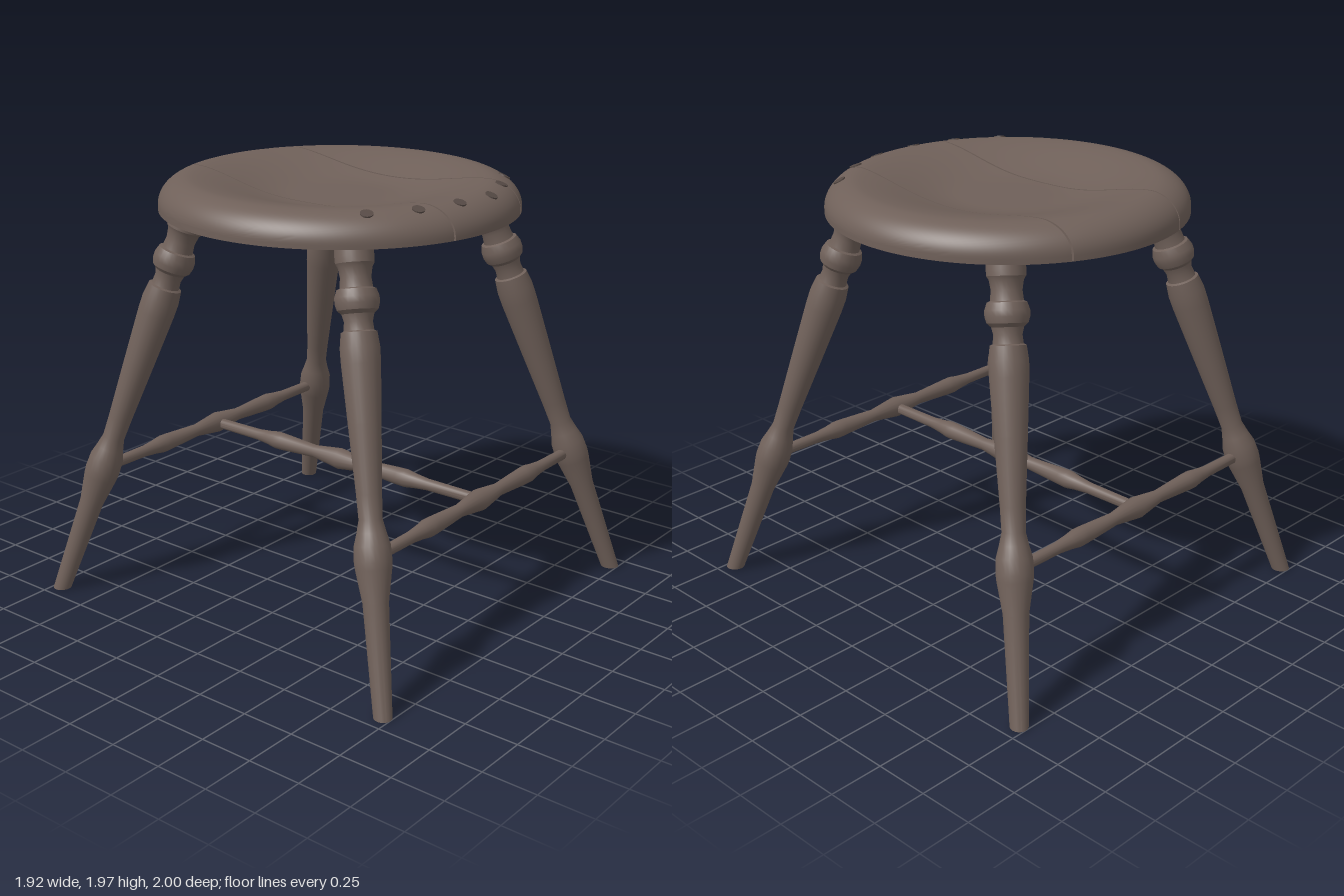
import * as THREE from 'three';
import { toCreasedNormals } from 'three/addons/utils/BufferGeometryUtils.js';

const wood = new THREE.MeshStandardMaterial({ color: 0x6f6059 });
wood.name = 'brown wood';
const hollow = new THREE.MeshStandardMaterial({ color: 0x564a45 });
hollow.name = 'hole brown';

const UP = new THREE.Vector3(0, 1, 0);
const R = 0.81; // seat radius

// Heights of the dished seat top and the chamfered underside
const seatTop = (x, z) => {
  const r = Math.min(Math.hypot(x, z), R);
  const dish = 1.885 + 0.085 * THREE.MathUtils.smoothstep(r, 0.22, 0.69);
  const u = Math.max(0, (r - 0.66) / (R - 0.66));
  return dish - 0.12 * (1 - Math.sqrt(Math.max(0, 1 - u * u))) - 0.006 * z;
};
const seatBottom = (x, z) => {
  const r = Math.min(Math.hypot(x, z), R);
  return 1.798 + 0.032 * THREE.MathUtils.clamp((r - 0.62) / (R - 0.62), 0, 1);
};

// One seat plank between two nearly straight seams x = a + b * z
function plank([a0, b0], [a1, b1], cols, ease) {
  const n = 48, loop = 2 * (n + 1), pos = [], idx = [];
  for (let i = 0; i <= cols; i++) {
    const t = ease(i / cols);
    const a = a0 + (a1 - a0) * t, b = b0 + (b1 - b0) * t, k = 1 + b * b;
    const mid = -a * b / k, half = Math.sqrt(Math.max(0, R * R * k - a * a)) / k;
    for (let j = 0; j < loop; j++) {
      const top = j <= n, v = ((top ? j : loop - 1 - j) / n - 0.5) * Math.PI;
      const z = mid + half * Math.sin(v), x = a + b * z;
      pos.push(x, top ? seatTop(x, z) : seatBottom(x, z), z);
    }
  }
  for (let i = 0; i < cols; i++) {
    for (let j = 0; j < loop; j++) {
      const j2 = (j + 1) % loop;
      const p = i * loop + j, q = i * loop + j2;
      idx.push(p, q, p + loop, q, q + loop, p + loop);
    }
  }
  // Side walls along the seams
  for (let j = 0; j < n; j++) {
    const t0 = j, t1 = j + 1, u0 = loop - 1 - j, u1 = loop - 2 - j, e = cols * loop;
    idx.push(u0, t1, t0, u0, u1, t1);
    idx.push(e + u0, e + t0, e + t1, e + u0, e + t1, e + u1);
  }
  const g = new THREE.BufferGeometry();
  g.setAttribute('position', new THREE.Float32BufferAttribute(pos, 3));
  g.setIndex(idx);
  return toCreasedNormals(g, 0.7);
}

// Turned part from [radius, height] pairs
const turned = (pts, sides) =>
  new THREE.LatheGeometry(pts.map(([r, y]) => new THREE.Vector2(r, y)), sides);

const legProfile = [
  [0, 0], [0.04, 0], [0.055, 0.44], [0.077, 0.57], [0.08, 0.6], [0.077, 0.66],
  [0.062, 0.71], [0.05, 0.76], [0.054, 0.86], [0.07, 1.13], [0.083, 1.36],
  [0.084, 1.42], [0.076, 1.48], [0.064, 1.485], [0.06, 1.52], [0.068, 1.55],
  [0.086, 1.565], [0.094, 1.59], [0.094, 1.615], [0.083, 1.645], [0.07, 1.65],
  [0.065, 1.69], [0.072, 1.73], [0.082, 1.745], [0.083, 1.77], [0.08, 1.84], [0, 1.84],
];

// Splayed leg, its foot trimmed level with the floor
function legGeometry(sx, sz) {
  const dir = new THREE.Vector3(-0.239 * sx, 1, -0.275 * sz);
  const length = dir.length();
  const g = turned(legProfile.map(([r, y]) => [r, y * length]), 24);
  g.applyQuaternion(new THREE.Quaternion().setFromUnitVectors(UP, dir.clone().normalize()));
  g.translate(0.92 * sx, 0, 0.96 * sz);
  const p = g.attributes.position, v = new THREE.Vector3();
  for (let i = 0; i < p.count; i++) {
    v.fromBufferAttribute(p, i);
    if (v.y < 0.03) {
      v.addScaledVector(dir, -v.y);
      p.setXYZ(i, v.x, v.y, v.z);
    }
  }
  return toCreasedNormals(g, 0.5);
}

// Stretcher profile, mirrored about its middle
const halfStretcher = [
  [0.03, 0.15], [0.041, 0.35], [0.042, 0.39], [0.034, 0.44], [0.027, 0.51], [0.025, 0.78], [0, 0.78],
];
const stretcherProfile = [
  ...halfStretcher.map(([r, y]) => [r, -y]).reverse(), [0.05, 0], ...halfStretcher,
];

export function createModel() {
  const model = new THREE.Group();
  model.name = 'stool';
  const add = (name, geometry, material = wood, parent = model) => {
    const mesh = new THREE.Mesh(geometry, material);
    mesh.name = name;
    parent.add(mesh);
    return mesh;
  };

  // Seat of three planks with narrow gaps
  const seat = new THREE.Group();
  seat.name = 'seat';
  model.add(seat);
  const gap = 0.004, edge = R - 0.0002;
  const s1 = -0.238, b1 = 0.022, s2 = 0.361, b2 = -0.01;
  add('rightPlank', plank([-edge, 0], [s1 - gap, b1], 28, t => 1 - Math.cos(t * Math.PI / 2)), wood, seat);
  add('middlePlank', plank([s1 + gap, b1], [s2 - gap, b2], 16, t => t), wood, seat);
  add('leftPlank', plank([s2 + gap, b2], [edge, 0], 28, t => Math.sin(t * Math.PI / 2)), wood, seat);

  // Row of drilled holes along the front rim, above and below
  const holes = [[-0.49, 0.53], [-0.3, 0.65], [-0.09, 0.71], [0.13, 0.72], [0.33, 0.64], [0.52, 0.53]];
  const e = 0.01;
  for (const [x, z] of holes) {
    for (const [height, side] of [[seatTop, 1], [seatBottom, -1]]) {
      const normal = new THREE.Vector3(
        (height(x - e, z) - height(x + e, z)) / (2 * e), 1,
        (height(x, z - e) - height(x, z + e)) / (2 * e)).normalize().multiplyScalar(side);
      const hole = add(side > 0 ? 'topHole' : 'bottomHole',
        new THREE.CylinderGeometry(0.028, 0.028, 0.008, 14), hollow, seat);
      hole.position.set(x, height(x, z), z);
      hole.quaternion.setFromUnitVectors(UP, normal);
    }
  }

  // Four turned legs
  for (const sx of [-1, 1]) {
    for (const sz of [-1, 1]) {
      add((sz > 0 ? 'front' : 'back') + (sx > 0 ? 'Left' : 'Right') + 'Leg', legGeometry(sx, sz));
    }
  }

  // H-shaped stretchers
  const stretcher = toCreasedNormals(turned(stretcherProfile, 16), 0.6);
  for (const sz of [-1, 1]) {
    const bar = add(sz > 0 ? 'frontStretcher' : 'backStretcher', stretcher);
    bar.rotation.z = Math.PI / 2;
    bar.position.set(0, 0.61, 0.79 * sz);
  }
  const cross = add('crossStretcher', stretcher);
  cross.rotation.x = Math.PI / 2;
  cross.position.y = 0.61;

  return model;
}
